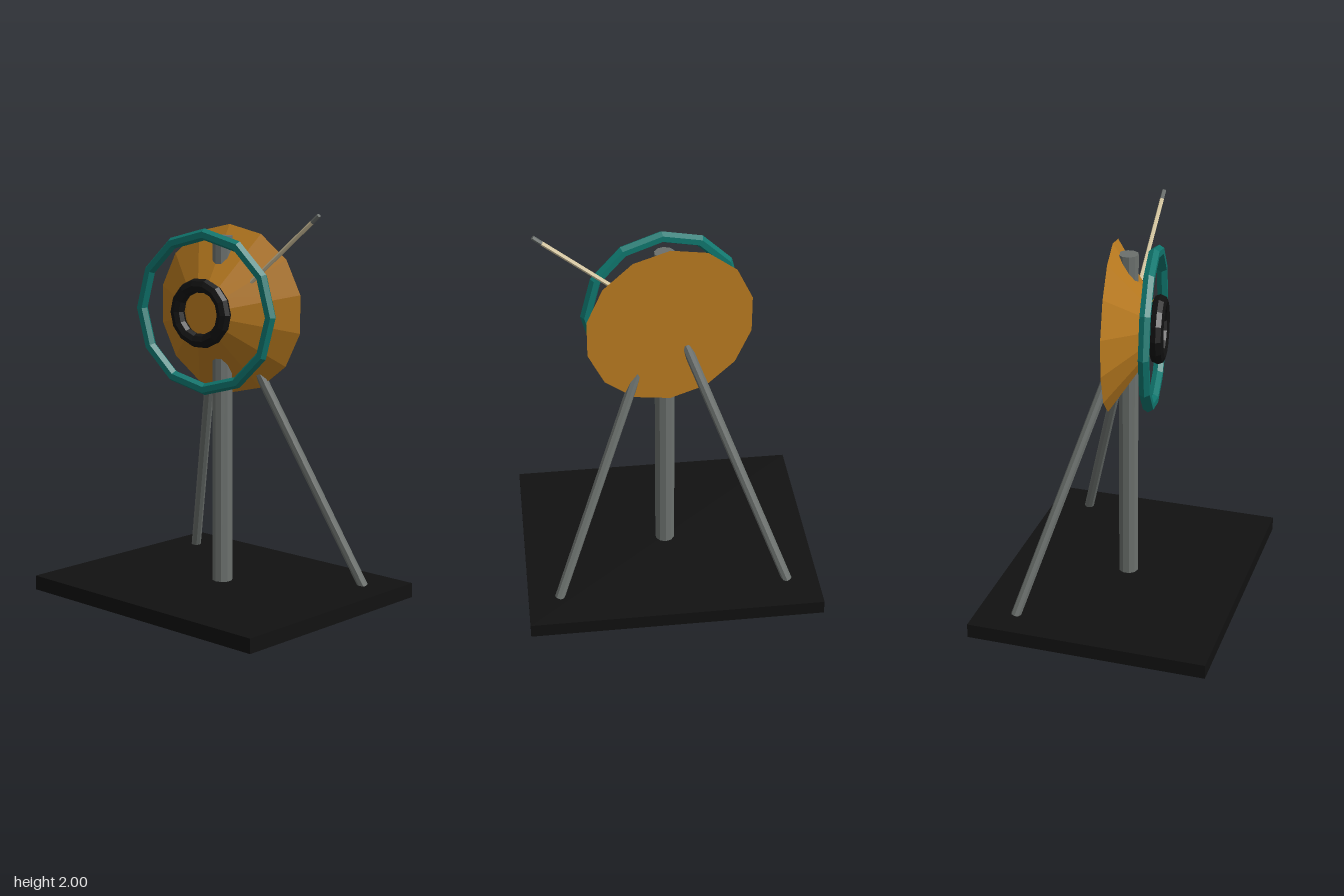
import * as THREE from 'three';

const flat = (name, color) => {
  const m = new THREE.MeshStandardMaterial({ color, flatShading: true });
  m.name = name;
  return m;
};

export function createModel() {
  const model = new THREE.Group();
  model.name = 'dishOnStand';

  const black = flat('black', 0x111111);
  const steel = flat('steel grey', 0x6b706d);
  const ochre = flat('ochre', 0xb7791f);
  const teal = flat('teal', 0x0f766e);
  const cream = flat('cream', 0xd6c7a1);

  const add = (name, geometry, material, x = 0, y = 0, z = 0) => {
    const mesh = new THREE.Mesh(geometry, material);
    mesh.name = name;
    mesh.position.set(x, y, z);
    model.add(mesh);
    return mesh;
  };

  // straight bar between two points
  const bar = (name, a, b, radius, sides, material) => {
    const from = new THREE.Vector3(...a), to = new THREE.Vector3(...b);
    const dir = to.clone().sub(from);
    const mesh = add(name, new THREE.CylinderGeometry(radius, radius, dir.length(), sides), material);
    mesh.position.copy(from).add(to).multiplyScalar(0.5);
    mesh.quaternion.setFromUnitVectors(new THREE.Vector3(0, 1, 0), dir.normalize());
    return mesh;
  };

  const centreY = 1.485;
  const turn = 0.16; // the head is turned slightly to its left

  // base plate and central post
  add('basePlate', new THREE.BoxGeometry(1.525, 0.075, 1.245), black, 0, 0.0375, 0);
  bar('post', [0, 0.07, 0], [0, 1.865, 0], 0.052, 10, steel);

  // rear braces, running up into the back of the dish
  for (const [side, name] of [[1, 'leftBrace'], [-1, 'rightBrace']]) {
    bar(name, [side * 0.6, 0.07, -0.42], [side * 0.1, 1.35, -0.04], 0.026, 8, steel);
  }

  // faceted dish: a closed truncated cone with its wide end at the back
  const dish = new THREE.CylinderGeometry(0.13, 0.433, 0.202, 14).rotateX(Math.PI / 2);
  add('dish', dish, ochre, -0.004, centreY, 0.025).rotation.y = turn;

  // dark hub ring on the nose and larger hoop around it
  add('hubRing', new THREE.TorusGeometry(0.141, 0.036, 8, 14), black, 0, centreY, 0.16)
    .rotation.y = turn;
  add('hoop', new THREE.TorusGeometry(0.39, 0.03, 6, 12), teal, 0, centreY + 0.002, 0.13)
    .rotation.y = turn;

  // slanted rod from the centre of the dish with a grey tip
  bar('rod', [0, centreY, 0], [0.588, 1.957, 0], 0.011, 6, cream);
  bar('rodTip', [0.588, 1.957, 0], [0.63, 1.991, 0], 0.011, 6, steel);

  return model;
}
